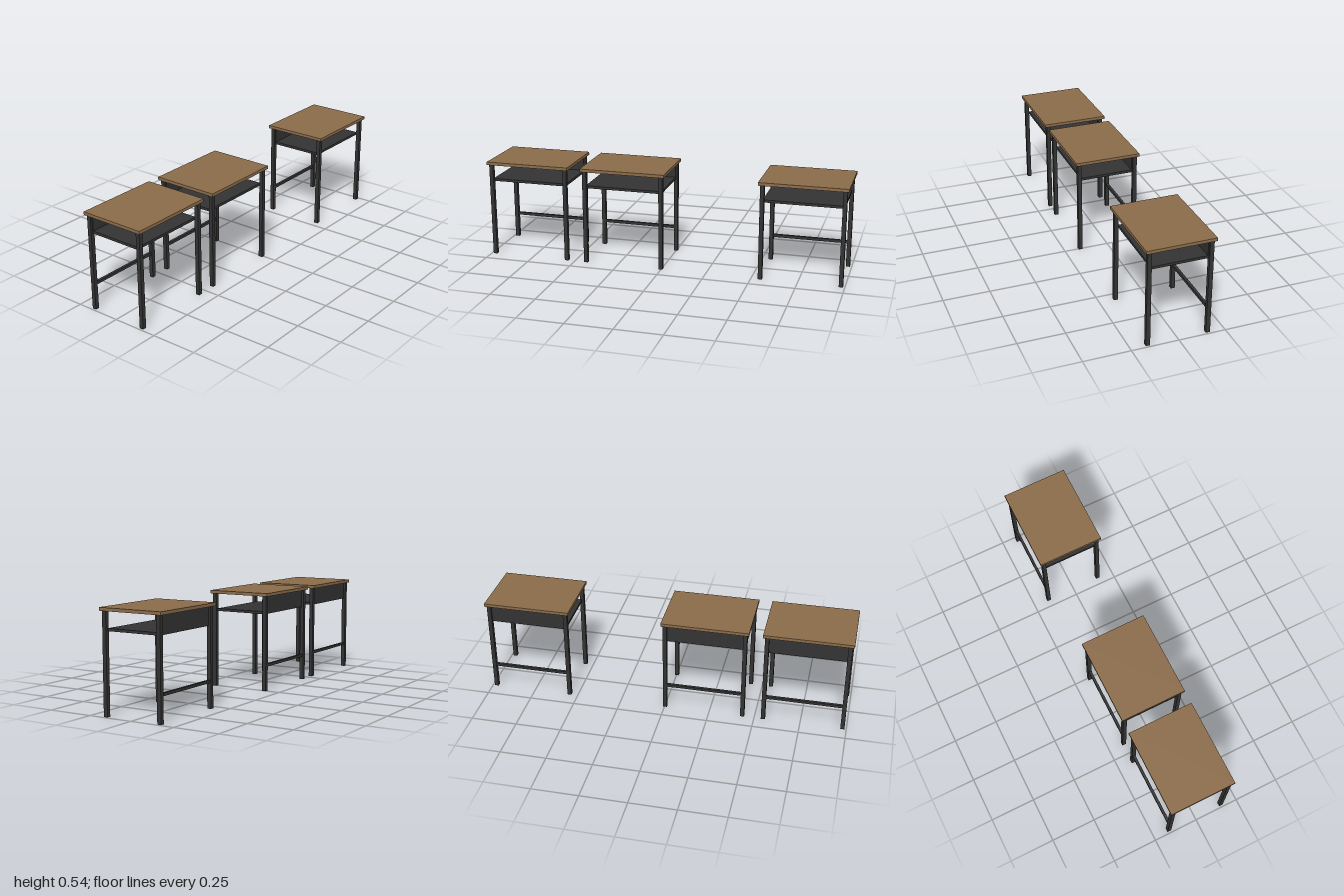
import * as THREE from 'three';

const wood = new THREE.MeshStandardMaterial({ color: 0x8b6c4a });
wood.name = 'wood';
const metal = new THREE.MeshStandardMaterial({ color: 0x333333 });
metal.name = 'dark metal';

function box(parent, name, material, size, position) {
  const mesh = new THREE.Mesh(new THREE.BoxGeometry(...size), material);
  mesh.name = name;
  mesh.position.set(...position);
  parent.add(mesh);
}

function createDesk() {
  const desk = new THREE.Group();
  desk.name = 'desk';
  box(desk, 'deskTop', wood, [0.473, 0.017, 0.364], [0, 0.5305, 0]);

  // Four square legs
  for (const z of [1, -1]) {
    for (const x of [1, -1]) {
      const name = (z > 0 ? 'front' : 'back') + (x > 0 ? 'Left' : 'Right') + 'Leg';
      box(desk, name, metal, [0.022, 0.522, 0.022], [x * 0.2155, 0.261, z * 0.16]);
    }
  }

  // Book shelf, back panel and lower crossbar
  box(desk, 'shelf', metal, [0.43, 0.014, 0.294], [0, 0.43, 0]);
  box(desk, 'backPanel', metal, [0.43, 0.099, 0.014], [0, 0.4725, -0.152]);
  box(desk, 'crossbar', metal, [0.42, 0.015, 0.015], [0, 0.141, -0.16]);
  return desk;
}

export function createModel() {
  const model = new THREE.Group();
  model.name = 'deskRow';
  // Two neighbouring desks and one set apart
  for (const x of [-0.7635, -0.218, 0.7635]) {
    const desk = createDesk();
    desk.position.x = x;
    model.add(desk);
  }
  return model;
}
